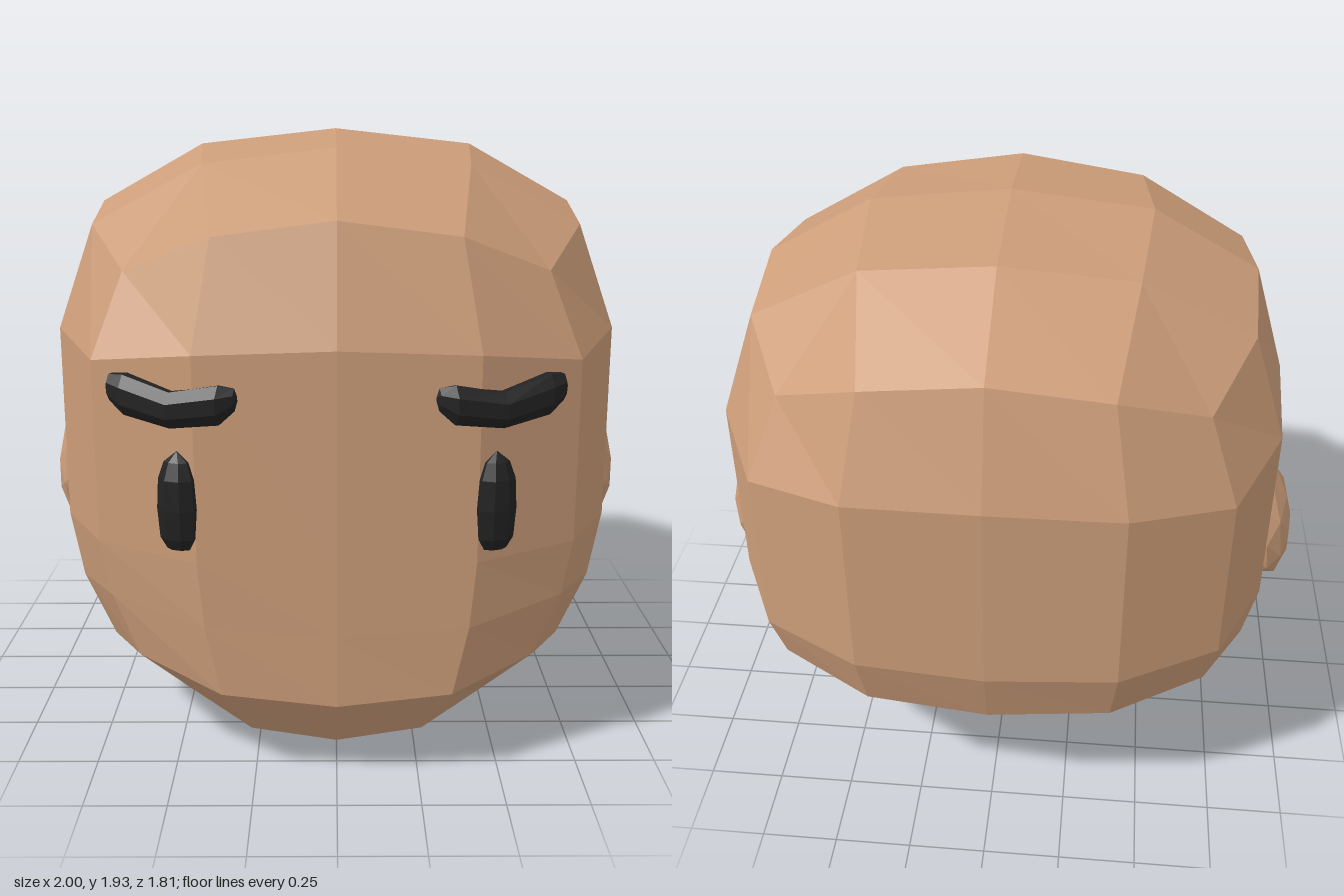
import * as THREE from 'three';

const V = (x, y, z) => new THREE.Vector3(x, y, z);

// Faceted skin over rings of points (top to bottom), closed by a centre point at each end
function skin(rings, start, end) {
  const pos = [];
  const tri = (a, b, c) => {
    const area = b.clone().sub(a).cross(c.clone().sub(a)).length();
    if (area > 1e-7) for (const p of [a, b, c]) pos.push(p.x, p.y, p.z);
  };
  const n = rings[0].length;
  const last = rings[rings.length - 1];
  for (let i = 0; i < n; i++) {
    const k = (i + 1) % n;
    tri(start, rings[0][i], rings[0][k]);
    for (let j = 0; j + 1 < rings.length; j++) {
      const [p, q] = [rings[j], rings[j + 1]];
      tri(p[i], q[i], q[k]);
      tri(p[i], q[k], p[k]);
    }
    tri(end, last[k], last[i]);
  }
  const g = new THREE.BufferGeometry();
  g.setAttribute('position', new THREE.Float32BufferAttribute(pos, 3));
  g.computeVertexNormals();
  return g;
}

// Rounded square of 16 points; innermost rings merge the points beside each corner
const QUARTER = [[0, 1], [0.455, 0.97], [0.8, 0.8], [0.97, 0.455]];
const INNER = [[0, 1], [0.92, 0.92], [0.92, 0.92], [0.92, 0.92]];
const LIFT = [0, 0.3, 1, 0.3];

function headRing({ x, zf, zb, zc = 0, yf, ys, yb, lift, inner }) {
  const pts = [];
  for (let side = 0; side < 4; side++) {
    (inner ? INNER : QUARTER).forEach(([a, b], i) => {
      const [u, v] = [[a, b], [b, -a], [-a, -b], [-b, a]][side];
      const z = zc + (v > 0 ? v * (zf - zc) : -v * (zb - zc));
      const y = ys + ((v > 0 ? yf : yb) - ys) * v * v;
      pts.push(V(u * x, y + lift * (inner ? Math.min(i, 1) : LIFT[i]), z));
    });
  }
  return pts;
}

function headGeometry() {
  const rings = [
    { x: 0.45, zf: 0.44, zb: -0.45, yf: 1.88, ys: 1.88, yb: 1.88, lift: -0.05, inner: true },
    { x: 0.79, zf: 0.78, zb: -0.8, yf: 1.69, ys: 1.69, yb: 1.69, lift: -0.16 },
    { x: 0.9, zf: 0.89, zb: -0.91, yf: 1.34, ys: 1.34, yb: 1.34, lift: -0.06 },
    { x: 0.9, zf: 0.89, zb: -0.91, yf: 0.7, ys: 0.7, yb: 0.7, lift: 0.02 },
    { x: 0.86, zf: 0.89, zb: -0.85, yf: 0.48, ys: 0.47, yb: 0.49, lift: 0.07 },
    { x: 0.76, zf: 0.89, zb: -0.67, zc: 0.02, yf: 0.26, ys: 0.26, yb: 0.32, lift: 0.09 },
    { x: 0.58, zf: 0.78, zb: -0.44, zc: 0.03, yf: 0.09, ys: 0.09, yb: 0.18, lift: 0.1 },
    { x: 0.3, zf: 0.44, zb: -0.22, zc: 0.05, yf: 0.01, ys: 0.02, yb: 0.06, lift: 0.025, inner: true },
  ];
  return skin(rings.map(headRing), V(0, 1.93, 0), V(0, 0, 0.06));
}

// Stick with stations [x, y, z, radius along u, radius along v], s = -1 mirrors it
function stick(stations, u, v, s, sides = 8) {
  const mirror = (p) => p.setX(p.x * s);
  const rings = stations.slice(1, -1).map(([x, y, z, ru, rv]) => {
    const ring = [];
    for (let i = 0; i < sides; i++) {
      const t = ((i + 0.5) / sides) * Math.PI * 2;
      ring.push(mirror(V(x, y, z)
        .addScaledVector(u, ru * Math.sin(t))
        .addScaledVector(v, rv * Math.cos(t))));
    }
    return s < 0 ? ring.reverse() : ring;
  });
  const tip = (a) => mirror(V(a[0], a[1], a[2]));
  return skin(rings, tip(stations[0]), tip(stations[stations.length - 1]));
}

export function createModel() {
  const model = new THREE.Group();
  const skinMat = new THREE.MeshStandardMaterial({ color: 0xcc9d79, flatShading: true });
  const darkMat = new THREE.MeshStandardMaterial({ color: 0x222222, flatShading: true });
  const add = (name, geometry, material) => {
    const mesh = new THREE.Mesh(geometry, material);
    mesh.name = name;
    model.add(mesh);
    return mesh;
  };

  add('head', headGeometry(), skinMat);

  for (const s of [1, -1]) {
    const side = s > 0 ? 'left' : 'right';

    // Ear: faceted ellipsoid, leaning out slightly at the bottom
    const ear = add(side + 'Ear', new THREE.IcosahedronGeometry(1, 1), skinMat);
    ear.scale.set(0.095, 0.232, 0.182);
    ear.position.set(0.905 * s, 0.77, -0.07);
    ear.rotation.z = 0.12 * s;

    // Eye: upright rounded stick following the turn of the face
    add(side + 'Eye', stick([
      [0.46, 1.04, 0.84],
      [0.46, 1.01, 0.843, 0.04, 0.025],
      [0.46, 0.96, 0.845, 0.058, 0.042],
      [0.46, 0.87, 0.845, 0.064, 0.044],
      [0.46, 0.78, 0.842, 0.058, 0.038],
      [0.46, 0.745, 0.84, 0.038, 0.022],
      [0.46, 0.738, 0.838],
    ], V(0.94, 0, -0.34), V(0.34, 0, 0.94), s), darkMat);

    // Eyebrow: shallow curve sagging in the middle
    add(side + 'Eyebrow', stick([
      [0.27, 1.2, 0.862],
      [0.285, 1.198, 0.862, 0.025, 0.036],
      [0.33, 1.182, 0.862, 0.04, 0.062],
      [0.47, 1.163, 0.838, 0.046, 0.057],
      [0.61, 1.196, 0.782, 0.042, 0.064],
      [0.655, 1.212, 0.76, 0.028, 0.042],
      [0.672, 1.212, 0.752],
    ], V(-0.35, 0, -0.94), V(0, 1, 0), s), darkMat);
  }
  return model;
}
